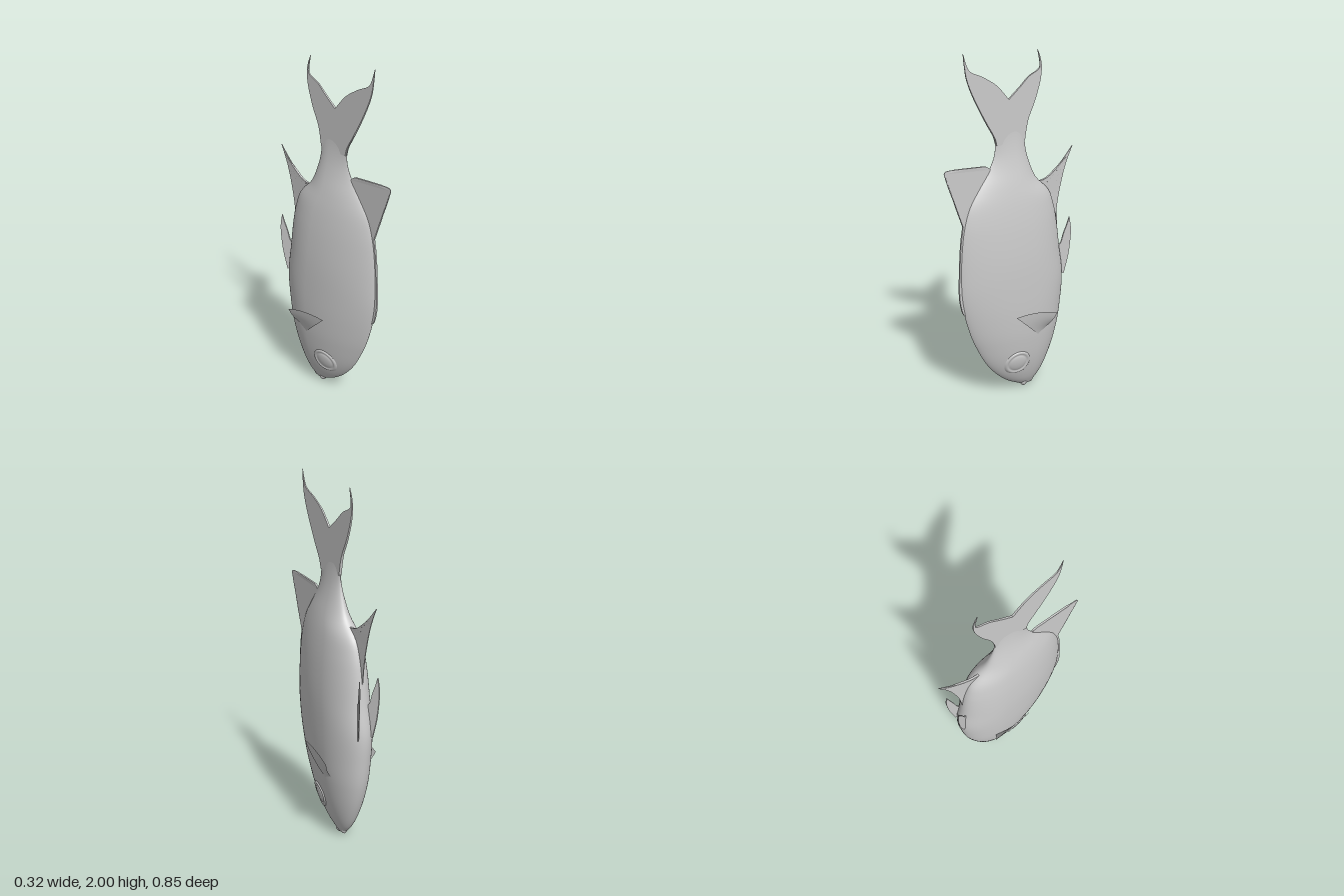
import * as THREE from 'three';

const material = new THREE.MeshStandardMaterial({ color: 0xcccccc, side: THREE.DoubleSide });

// Body stations from snout to tail root: y, back z, belly z, half width
const stations = [
  [0.015, -0.07, -0.14, 0.014], [0.07, 0.025, -0.19, 0.042], [0.18, 0.14, -0.25, 0.077],
  [0.36, 0.245, -0.31, 0.107], [0.52, 0.303, -0.335, 0.118], [0.68, 0.335, -0.345, 0.121],
  [0.85, 0.338, -0.32, 0.118], [1.0, 0.327, -0.3, 0.108], [1.1, 0.31, -0.28, 0.097],
  [1.2, 0.275, -0.24, 0.081], [1.28, 0.22, -0.16, 0.062], [1.38, 0.145, -0.112, 0.036],
  [1.45, 0.113, -0.092, 0.021], [1.53, 0.11, -0.086, 0.01], [1.62, 0.16, -0.105, 0.004],
];
const spline = new THREE.CubicInterpolant(
  stations.map((s) => s[0]), stations.flatMap((s) => s.slice(1)), 3, new Float32Array(3));

function sectionAt(y) {
  const [back, belly, width] = spline.evaluate(y);
  return { back, belly, width, mid: belly + (back - belly) * 0.36 };
}

// Half width of the flank: sharp toward the back, round toward the belly
function flank(y, z) {
  const s = sectionAt(y);
  const u = z > s.mid ? (z - s.mid) / (s.back - s.mid) : (s.mid - z) / (s.mid - s.belly);
  return s.width * Math.pow(Math.max(0, 1 - u * u), z > s.mid ? 0.75 : 0.5);
}

// Smooth surface from a grid of points
function gridGeometry(rows, closed) {
  const n = rows[0].length, index = [];
  for (let i = 0; i < rows.length - 1; i++) {
    for (let j = 0; j < (closed ? n : n - 1); j++) {
      const k = (j + 1) % n, a = i * n, b = a + n;
      index.push(a + j, a + k, b + k, a + j, b + k, b + j);
    }
  }
  const g = new THREE.BufferGeometry();
  g.setAttribute('position', new THREE.Float32BufferAttribute(rows.flat(2), 3));
  g.setIndex(index);
  g.computeVertexNormals();
  return g;
}

function bodyGeometry() {
  const rows = [], count = 80, around = 56;
  const first = stations[0][0], last = stations.at(-1)[0];
  for (let i = 0; i <= count; i++) {
    const y = first + (last - first) * Math.pow(i / count, 1.3);
    const s = sectionAt(y), row = [];
    for (let j = 0; j < around; j++) {
      const a = (j / around) * Math.PI * 2, c = Math.cos(a);
      const z = s.mid + c * (c > 0 ? s.back - s.mid : s.mid - s.belly);
      row.push([Math.sign(Math.sin(a)) * Math.pow(Math.abs(Math.sin(a)), c > 0 ? 1.5 : 1) * s.width, y, z]);
    }
    rows.push(row);
  }
  // Close the snout
  rows.unshift(rows[0].map(() => [0, 0.005, -0.105]));
  return gridGeometry(rows, true);
}

// Thin fin from smooth outline runs in (z, y); place(y, z) returns { x, half }
function finGeometry(runs, place) {
  const shape = new THREE.Shape();
  shape.moveTo(...runs[0][0]);
  runs.forEach((run, i) => {
    const pts = (i ? run : run.slice(1)).map((p) => new THREE.Vector2(...p));
    if (pts.length === 1) shape.lineTo(pts[0].x, pts[0].y);
    else shape.splineThru(pts);
  });
  const g = new THREE.ExtrudeGeometry(shape, { depth: 2, bevelEnabled: false, curveSegments: 5 });
  g.translate(0, 0, -1).rotateY(-Math.PI / 2);
  const p = g.attributes.position;
  for (let i = 0; i < p.count; i++) {
    const { x, half } = place(p.getY(i), p.getZ(i));
    p.setX(i, x + p.getX(i) * half);
  }
  g.computeVertexNormals();
  return g;
}

// Domed eye with a shallow socket rim, laid on the flank
function eyeGeometry(side) {
  const g = new THREE.RingGeometry(0.0005, 0.085, 40, 16);
  const p = g.attributes.position;
  for (let i = 0; i < p.count; i++) {
    const dz = -p.getX(i), dy = p.getY(i), r = Math.hypot(dz, dy);
    const y = 0.215 + dy, z = 0.01 + dz;
    const dome = r < 0.052 ? 0.009 * Math.sqrt(1 - (r / 0.052) ** 2) : 0;
    const rim = 0.006 * Math.exp(-(((r - 0.066) / 0.009) ** 2));
    const lift = dome + rim + (r > 0.078 ? -0.004 : 0.001);
    p.setXYZ(i, side * (flank(y, z) + lift), y, z);
  }
  if (side < 0) g.index.array.reverse();
  g.computeVertexNormals();
  return g;
}

// Pectoral fin fanning out from a short root to a long free edge
function pectoralGeometry(side) {
  const v = (x, y, z) => new THREE.Vector3(side * x, y, z);
  const edge = new THREE.QuadraticBezierCurve3(v(0.16, 0.505, -0.203), v(0.155, 0.56, -0.07), v(0.137, 0.545, 0.067));
  const root = new THREE.LineCurve3(v(0.108, 0.41, -0.168), v(0.108, 0.375, -0.11));
  const rows = [];
  for (let i = 0; i <= 8; i++) {
    const row = [];
    for (let j = 0; j <= 14; j++) {
      const q = root.getPoint(j / 14).lerp(edge.getPoint(j / 14), i / 8);
      q.x += side * 0.008 * Math.sin((Math.PI * i) / 8);
      row.push(q.toArray());
    }
    rows.push(row);
  }
  return gridGeometry(rows, false);
}

export function createModel() {
  const model = new THREE.Group();
  const add = (name, geometry) => {
    const mesh = new THREE.Mesh(geometry, material);
    mesh.name = name;
    model.add(mesh);
    return mesh;
  };

  add('body', bodyGeometry());

  // Lips with a small mouth gap between them
  const lip = (name, y, z, rx, ry, rz) =>
    add(name, new THREE.SphereGeometry(1, 20, 14).scale(rx, ry, rz).translate(0, y, z));
  lip('upperLip', 0.03, -0.086, 0.022, 0.03, 0.022);
  lip('lowerLip', 0.037, -0.136, 0.019, 0.029, 0.017);

  // Forked tail, thinning toward its tips
  add('tailFin', finGeometry([
    [[0.1, 1.5], [0.115, 1.55], [0.165, 1.635], [0.23, 1.755], [0.275, 1.86], [0.29, 1.94], [0.296, 2]],
    [[0.275, 1.935], [0.25, 1.903], [0.18, 1.87], [0.095, 1.815], [0.02, 1.733]],
    [[-0.055, 1.79], [-0.11, 1.835], [-0.17, 1.862], [-0.184, 1.89], [-0.168, 1.967]],
    [[-0.187, 1.92], [-0.195, 1.87], [-0.185, 1.8], [-0.15, 1.7], [-0.105, 1.605], [-0.083, 1.5]],
  ], (y) => ({ x: 0, half: 0.0085 - 0.0065 * (y - 1.5) / 0.5 })));

  // Low back ridge rising into the dorsal fin
  add('dorsalFin', finGeometry([
    [[0.3, 0.57], [0.33, 0.6], [0.349, 0.7], [0.345, 0.85], [0.334, 1.0], [0.318, 1.1]],
    [[0.36, 1.22], [0.4, 1.33], [0.425, 1.41]],
    [[0.405, 1.424], [0.3, 1.416], [0.17, 1.402]],
    [[0.15, 1.39], [0.135, 1.375], [0.11, 1.38]],
    [[0.2, 1.2]], [[0.27, 1.0]], [[0.28, 0.7]],
  ], (y, z) => ({ x: 0, half: z > 0.36 ? 0.002 : 0.005 })));

  add('analFin', finGeometry([
    [[-0.11, 1.32], [-0.16, 1.265], [-0.2, 1.25], [-0.26, 1.268], [-0.34, 1.328], [-0.42, 1.408]],
    [[-0.375, 1.31], [-0.342, 1.2], [-0.318, 1.08], [-0.306, 0.95], [-0.3, 0.87]],
    [[-0.25, 0.9]], [[-0.2, 1.1]],
  ], (y, z) => ({ x: 0, half: z < -0.3 ? 0.002 : 0.006 })));

  // Paired parts
  for (const [label, side] of [['left', 1], ['right', -1]]) {
    add(label + 'Eye', eyeGeometry(side));
    add(label + 'PectoralFin', pectoralGeometry(side));
    add(label + 'PelvicFin', finGeometry([
      [[-0.362, 1.015], [-0.371, 0.95], [-0.37, 0.88], [-0.36, 0.78], [-0.338, 0.67]],
      [[-0.29, 0.7]], [[-0.29, 0.84]],
      [[-0.318, 0.86], [-0.334, 0.92], [-0.35, 0.97], [-0.362, 1.015]],
    ], (y, z) => ({ x: side * (0.032 + (-0.31 - z) * 0.47), half: 0.003 })));
  }
  return model;
}
